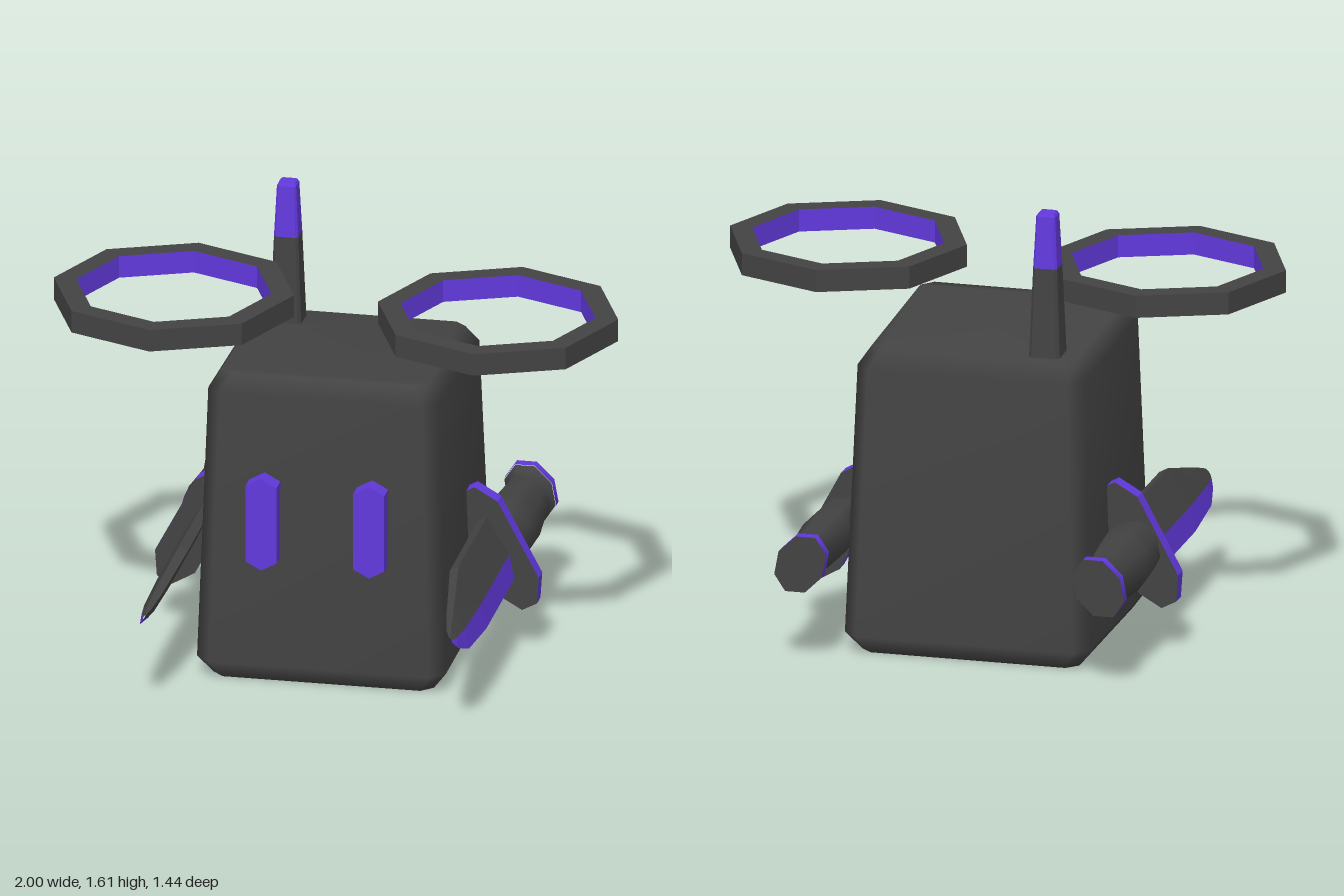
import * as THREE from 'three';

const dark = new THREE.MeshStandardMaterial({ color: 0x434343 });
dark.name = 'charcoal';
const purple = new THREE.MeshStandardMaterial({ color: 0x6239dd });
purple.name = 'violet';

function add(parent, name, geometry, material) {
  const mesh = new THREE.Mesh(geometry, material);
  mesh.name = name;
  parent.add(mesh);
  return mesh;
}

function flat(geometry) {
  const g = geometry.index ? geometry.toNonIndexed() : geometry;
  g.computeVertexNormals();
  return g;
}

// Skin over cross-sections, each counter-clockwise seen from the stacking direction
function loft(rings, { closed = true, caps = true } = {}) {
  const n = rings[0].length, index = [];
  for (let i = 0; i < rings.length - 1; i++) {
    for (let j = 0; j < (closed ? n : n - 1); j++) {
      const k = (j + 1) % n, a = i * n, b = a + n;
      index.push(a + j, a + k, b + k, a + j, b + k, b + j);
    }
  }
  const last = (rings.length - 1) * n;
  for (let j = 1; caps && j < n - 1; j++) {
    index.push(0, j + 1, j, last, last + j, last + j + 1);
  }
  const g = new THREE.BufferGeometry();
  g.setAttribute('position', new THREE.Float32BufferAttribute(rings.flat(2), 3));
  g.setIndex(index);
  g.computeVertexNormals();
  return g;
}

// Horizontal rectangle with cut corners; the height may differ front to back
function rectRing(yFront, yBack, hx, zFront, zBack, c) {
  const pts = [
    [hx, zFront - c], [hx, zBack + c], [hx - c, zBack], [c - hx, zBack],
    [-hx, zBack + c], [-hx, zFront - c], [c - hx, zFront], [hx - c, zFront],
  ];
  return pts.map(([x, z]) => {
    const t = (z - zBack) / (zFront - zBack);
    return [x, yBack + (yFront - yBack) * t, z];
  });
}

// Upright oval cross-section of the knife handle
function ovalRing(z, scale) {
  return Array.from({ length: 8 }, (_, i) => {
    const a = (i * Math.PI) / 4;
    return [0.088 * scale * Math.cos(a), 0.114 * scale * Math.sin(a), z];
  });
}

function makeKnife() {
  const knife = new THREE.Group();

  // Blade stations: z, spine height, bevel height, edge height, half thickness
  const stations = [
    [-0.16, 0.12, -0.035, -0.122, 0.025],
    [0.35, 0.12, -0.035, -0.122, 0.025],
    [0.6, 0.043, -0.03, -0.1, 0.02],
    [0.69, 0.012, -0.025, -0.06, 0.012],
    [0.72, -0.008, -0.016, -0.026, 0.002],
  ];
  const strip = { closed: false, caps: false };
  add(knife, 'blade', flat(loft(stations.map(([z, top, mid, , t]) => [
    [t, mid, z], [t * 0.7, top, z], [-t * 0.7, top, z], [-t, mid, z],
  ]), strip)), dark);
  add(knife, 'bladeEdge', flat(loft(stations.map(([z, , mid, low, t]) => [
    [-t, mid, z], [0, low, z], [t, mid, z],
  ]), strip)), purple);

  // Guard: dark faces with a violet rim
  const outline = [
    [0.03, 0.235], [-0.03, 0.235], [-0.08, 0.155], [-0.08, -0.155],
    [-0.03, -0.235], [0.03, -0.235], [0.08, -0.155], [0.08, 0.155],
  ].map(([x, y]) => new THREE.Vector2(x, y));
  const guard = new THREE.ExtrudeGeometry(new THREE.Shape(outline), { depth: 0.06, bevelEnabled: false });
  add(knife, 'guard', guard, [dark, purple]).position.z = -0.193;

  // Handle with a flared end
  const profile = [[-0.68, 0.98], [-0.65, 0.8], [-0.6, 0.83], [-0.4, 1], [-0.3, 0.97], [-0.18, 0.84]];
  add(knife, 'handle', loft(profile.map(([z, s]) => ovalRing(z, s)), { caps: false }), dark);
  add(knife, 'pommelBand', loft([ovalRing(-0.72, 1), ovalRing(-0.68, 1)], { caps: false }), purple);
  const cap = add(knife, 'pommelCap', new THREE.CircleGeometry(1, 8), dark);
  cap.scale.set(0.088, 0.114, 1);
  cap.rotation.y = Math.PI;
  cap.position.z = -0.72;
  return knife;
}

function makeRing() {
  const ring = new THREE.Group();
  const outer = 0.425, inner = 0.345, h = 0.04;
  const lathe = (pts) => flat(new THREE.LatheGeometry(pts.map(([r, y]) => new THREE.Vector2(r, y)), 8));
  add(ring, 'ringShell', lathe([[inner, -h], [outer, -h], [outer, h], [inner, h]]), dark);
  add(ring, 'ringLining', lathe([[inner, h], [inner, -h]]), purple);
  return ring;
}

export function createModel() {
  const model = new THREE.Group();
  model.name = 'robot';

  // Tapered body with bevelled edges
  add(model, 'body', loft([
    rectRing(0, 0, 0.39, 0.305, -0.475, 0.04),
    rectRing(0.07, 0.07, 0.44, 0.355, -0.528, 0.05),
    rectRing(1.06, 1.025, 0.407, 0.322, -0.482, 0.05),
    rectRing(1.12, 1.088, 0.365, 0.28, -0.437, 0.04),
  ]), dark);

  // Antenna with a violet tip
  const post = (y, r) => rectRing(y, y, r, r, -r, r * 0.2);
  const antenna = new THREE.Group();
  antenna.name = 'antenna';
  antenna.position.set(-0.25, 0, -0.338);
  add(antenna, 'antennaPost', flat(loft([post(1.05, 0.057), post(1.41, 0.043)])), dark);
  add(antenna, 'antennaTip', flat(loft([post(1.41, 0.043), post(1.595, 0.034), post(1.605, 0.028)])), purple);
  model.add(antenna);

  // Eyes: tall hexagonal plates
  const eyeShape = new THREE.Shape([
    [0, 0.17], [-0.055, 0.14], [-0.055, -0.14], [0, -0.17], [0.055, -0.14], [0.055, 0.14],
  ].map(([x, y]) => new THREE.Vector2(x, y)));
  const eyeGeometry = new THREE.ExtrudeGeometry(eyeShape, { depth: 0.09, bevelEnabled: false });
  add(model, 'rightEye', eyeGeometry, purple).position.set(-0.195, 0.61, 0.308);
  add(model, 'leftEye', eyeGeometry, purple).position.set(0.186, 0.61, 0.308);

  // Hovering rings and side knives, one pair each
  for (const [side, s] of [['left', 1], ['right', -1]]) {
    const ring = makeRing();
    ring.name = side + 'Ring';
    ring.position.set(s * 0.573, 1.296, 0.055);
    model.add(ring);

    const knife = makeKnife();
    knife.name = side + 'Knife';
    knife.position.set(s * 0.535, 0.376, 0);
    knife.rotation.z = s * 0.49;
    model.add(knife);
  }
  return model;
}
